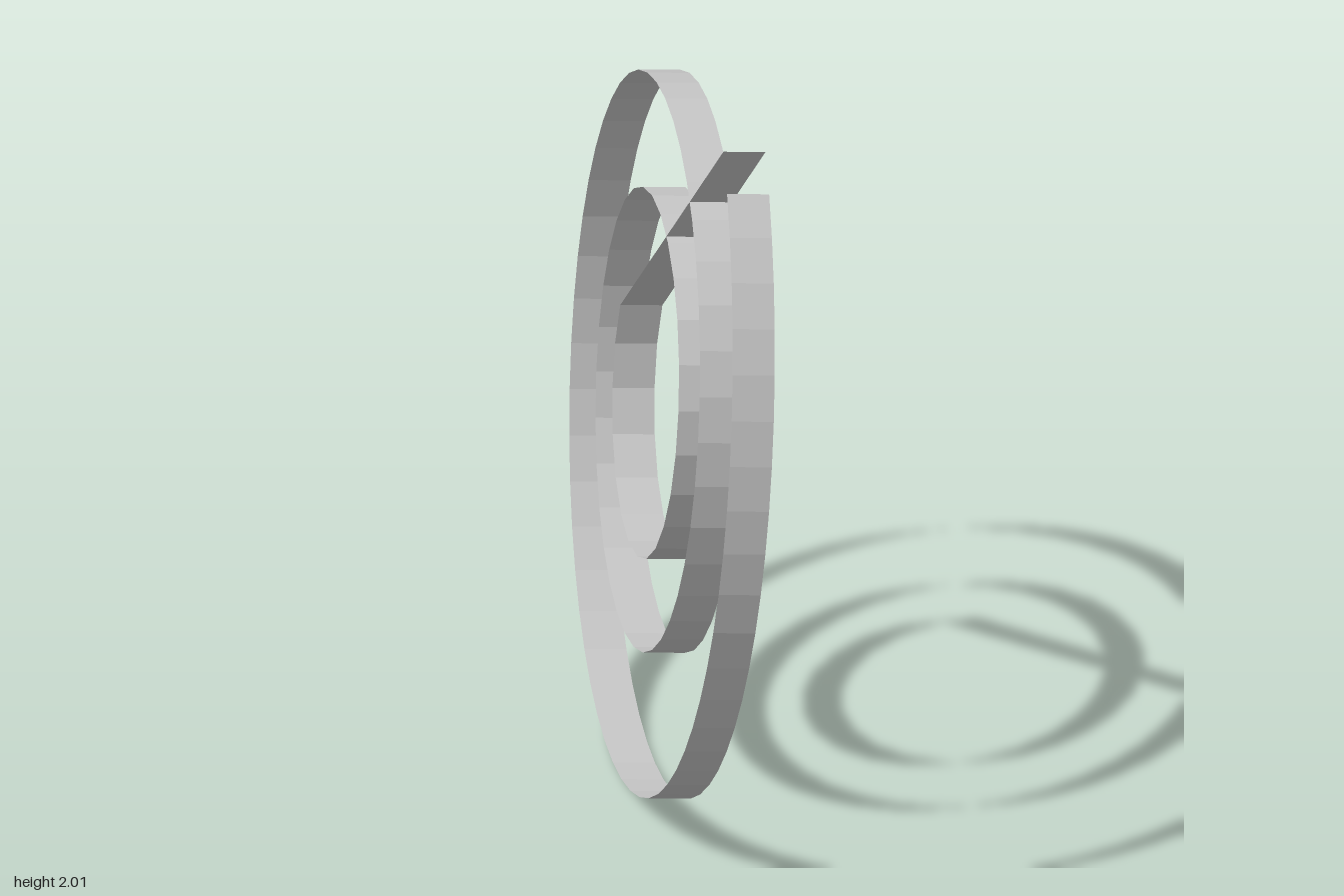
import * as THREE from 'three';

// Frame of the tilted plane the spiral lies in
const normal = new THREE.Vector3(0.633, -0.09, -0.769).normalize();
const across = new THREE.Vector3(0.777, 0, 0.63).addScaledVector(normal, 0).normalize();
const up = new THREE.Vector3().crossVectors(across, normal).normalize();
if (up.y < 0) up.negate();
const centre = new THREE.Vector3(-0.09, 1.003, -0.07);
const HALF_WIDTH = 0.055;

// Logarithmic spiral: radius shrinks by a fifth each half turn
const STEPS = 100;
const OUTER = 1.203;
const INNER = 0.3615;
const START = THREE.MathUtils.degToRad(56.1);
const DECAY = Math.log(1.25) / Math.PI;

function spiralPoint(i) {
  const r = OUTER + (INNER - OUTER) * i / STEPS; // even steps along the arc
  const a = START - Math.log(OUTER / r) / DECAY;
  return centre.clone()
    .addScaledVector(across, r * Math.cos(a))
    .addScaledVector(up, r * Math.sin(a));
}

// Flat band swept along a row of points, its width along the plane normal
function ribbon(name, points, material) {
  const positions = [];
  const index = [];
  points.forEach((p, i) => {
    for (const s of [-1, 1]) {
      positions.push(...p.clone().addScaledVector(normal, s * HALF_WIDTH).toArray());
    }
    if (i > 0) {
      const b = 2 * i;
      index.push(b - 2, b, b - 1, b, b + 1, b - 1);
    }
  });
  let geometry = new THREE.BufferGeometry();
  geometry.setAttribute('position', new THREE.Float32BufferAttribute(positions, 3));
  geometry.setIndex(index);
  geometry = geometry.toNonIndexed();
  geometry.computeVertexNormals();
  const mesh = new THREE.Mesh(geometry, material);
  mesh.name = name;
  return mesh;
}

export function createModel() {
  const group = new THREE.Group();
  group.name = 'spiralRibbon';
  const material = new THREE.MeshStandardMaterial({
    color: 0xcccccc, flatShading: true, side: THREE.DoubleSide,
  });

  // Coil, leaving a one-step gap at the outer end
  const coil = [];
  for (let i = 1; i <= STEPS; i++) coil.push(spiralPoint(i));
  group.add(ribbon('spiralCoil', coil, material));

  // Straight strip from the inner end back out past the coil
  group.add(ribbon('straightStrip', [spiralPoint(STEPS), spiralPoint(0)], material));
  return group;
}
